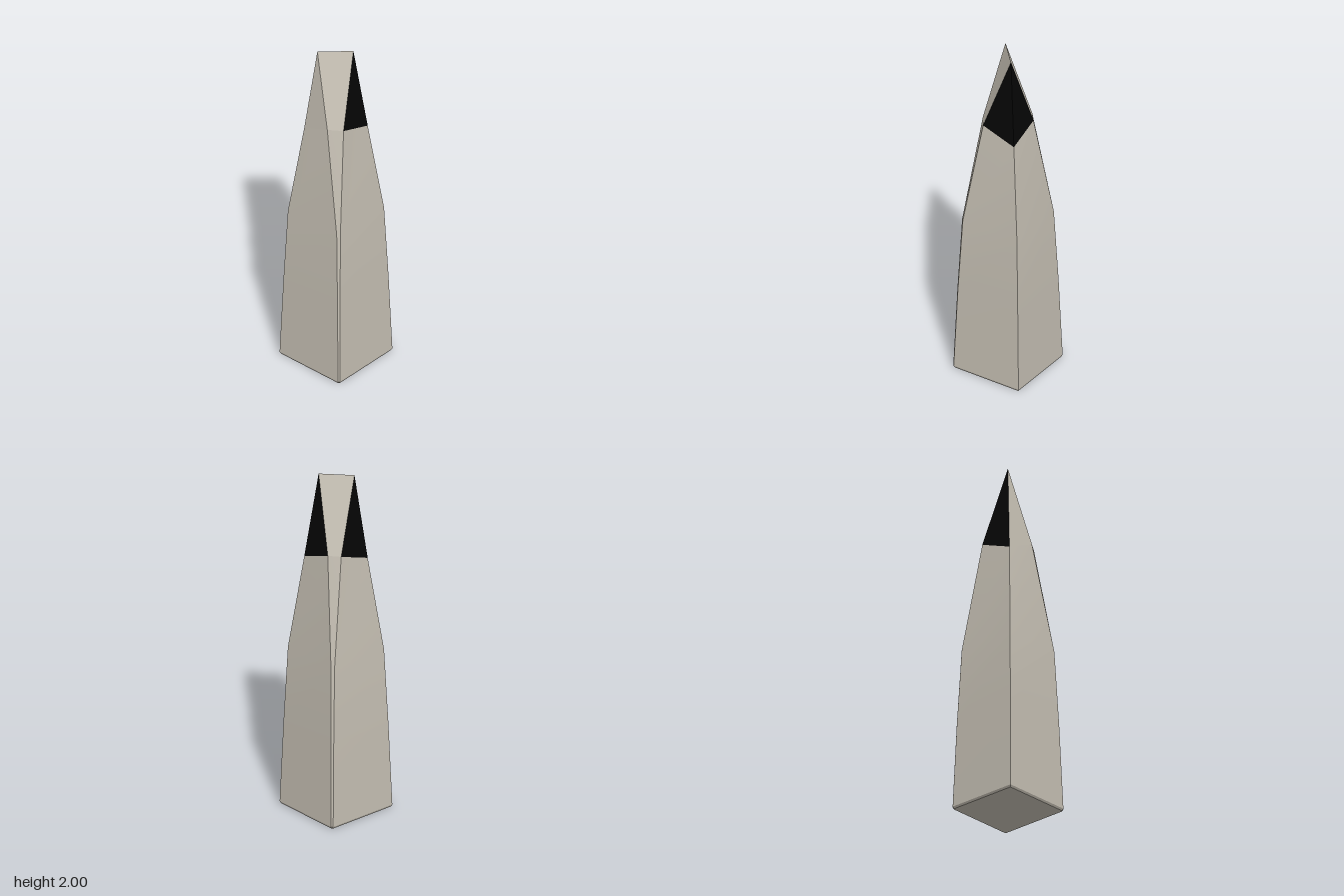
import * as THREE from 'three';
import { toCreasedNormals } from 'three/addons/utils/BufferGeometryUtils.js';

const stone = new THREE.MeshStandardMaterial({ color: 0xc4beb2 });
stone.name = 'pale stone';
const glass = new THREE.MeshStandardMaterial({ color: 0x050505 });
glass.name = 'black glazing';

// Mesh from convex polygons, each listed counter-clockwise seen from outside
function polygons(name, faces, material) {
  const pos = [];
  for (const f of faces) {
    for (let i = 1; i < f.length - 1; i++) pos.push(...f[0], ...f[i], ...f[i + 1]);
  }
  const geo = new THREE.BufferGeometry();
  geo.setAttribute('position', new THREE.Float32BufferAttribute(pos, 3));
  const mesh = new THREE.Mesh(toCreasedNormals(geo, 0.35), material);
  mesh.name = name;
  return mesh;
}

// Square outline with two opposite corners chamfered by c
const ring = (y, h, c) => [
  [h, y, h], [h, y, c - h], [h - c, y, -h],
  [-h, y, -h], [-h, y, h - c], [c - h, y, h],
];

export function createModel() {
  const group = new THREE.Group();
  group.name = 'tower';

  // Upper rim of the shaft: dips at the two sharp corners
  const rim = [
    [0.122, 1.5, 0.122], [0.12, 1.57, -0.07], [0.073, 1.57, -0.127],
    [-0.122, 1.5, -0.122], [-0.129, 1.57, 0.052], [-0.078, 1.57, 0.125],
  ];

  // Tapering shaft, with chamfers that widen toward the rim
  const rings = [
    ring(0, 0.211, 0.008), ring(0.012, 0.217, 0.008),
    ring(0.5, 0.202, 0.01), ring(0.95, 0.185, 0.014), rim,
  ];
  const sides = [[...rings[0]].reverse()];
  for (let r = 0; r < rings.length - 1; r++) {
    for (let i = 0; i < 6; i++) {
      const j = (i + 1) % 6;
      sides.push([rings[r][i], rings[r][j], rings[r + 1][j], rings[r + 1][i]]);
    }
  }
  group.add(polygons('shaft', sides, stone));

  // Faceted crown closing to a diagonal ridge
  const [a, b, c, d, e, f] = rim;
  const p = [0.066, 2, 0.068];
  const q = [-0.068, 2, -0.075];
  group.add(polygons('crownSlopes', [[b, c, q, p], [e, f, p, q], [d, e, q]], stone));
  group.add(polygons('frontCornerGlazing', [[f, a, p], [a, b, p]], glass));
  group.add(polygons('backGlazing', [[c, d, q]], glass));
  return group;
}
